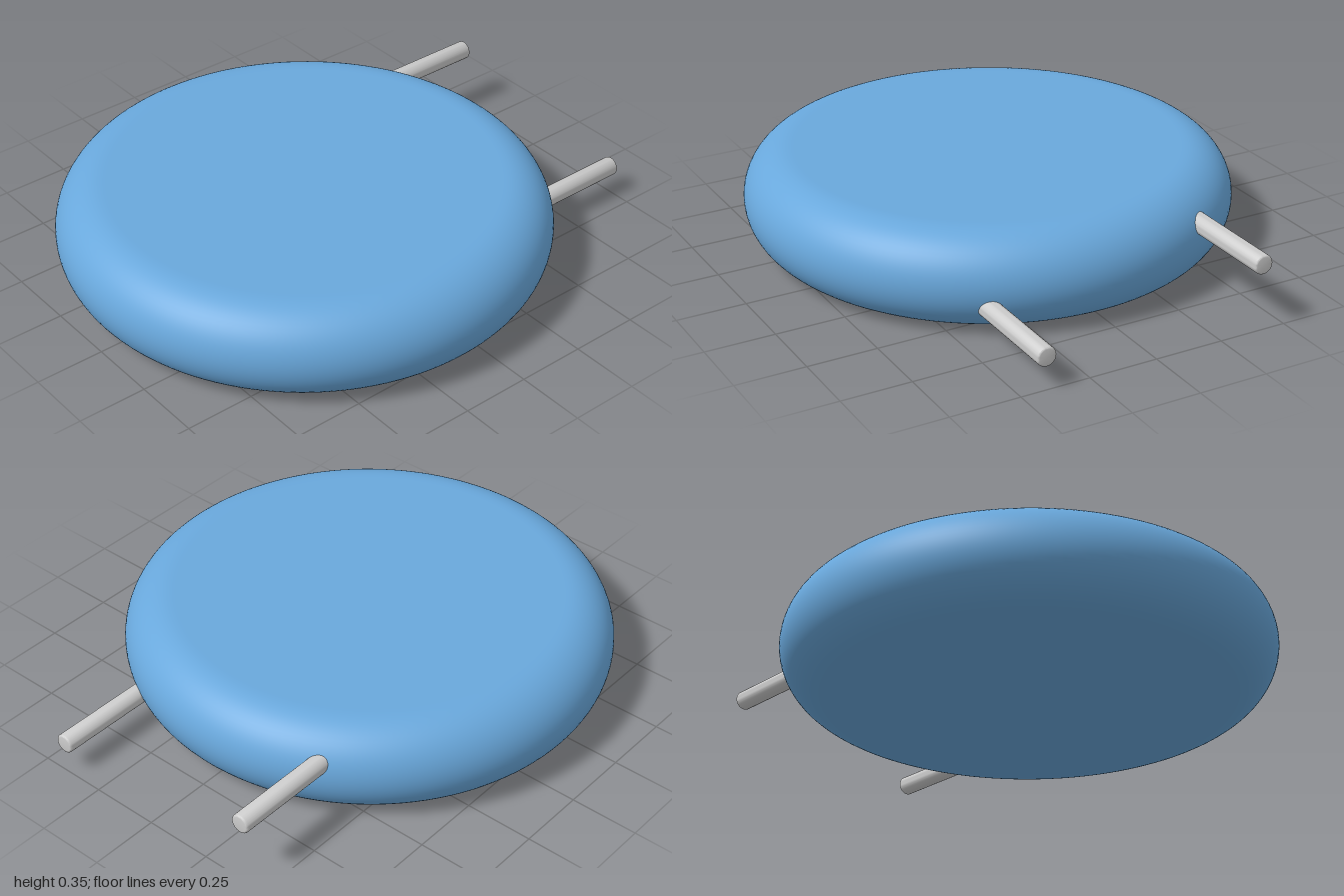
import * as THREE from 'three';
import { toCreasedNormals } from 'three/addons/utils/BufferGeometryUtils.js';

const RADIUS = 0.875, HEIGHT = 0.35, CENTRE_Z = 0.125;
const ROUND = HEIGHT / 2;

// Flat disc with a fully rounded rim
function discGeometry() {
  const flat = RADIUS - ROUND, steps = 32;
  const profile = [new THREE.Vector2(0, 0), new THREE.Vector2(flat - 0.01, 0)];
  for (let i = 0; i <= steps; i++) {
    const a = -Math.PI / 2 + (Math.PI * i) / steps;
    profile.push(new THREE.Vector2(flat + ROUND * Math.cos(a), ROUND + ROUND * Math.sin(a)));
  }
  profile.push(new THREE.Vector2(flat - 0.01, HEIGHT), new THREE.Vector2(0, HEIGHT));
  return new THREE.LatheGeometry(profile, 128);
}

// Straight pin with a slightly rounded outer end, pointing to -z
function pinGeometry(radius, length) {
  const bevel = 0.008;
  const profile = [[0, 0], [radius, 0], [radius, length - bevel]];
  for (let i = 1; i <= 4; i++) {
    const a = (Math.PI / 2) * (i / 4);
    profile.push([radius - bevel + bevel * Math.cos(a), length - bevel + bevel * Math.sin(a)]);
  }
  profile.push([0, length]);
  const lathe = new THREE.LatheGeometry(profile.map(([x, y]) => new THREE.Vector2(x, y)), 32);
  return toCreasedNormals(lathe, 0.6).rotateX(-Math.PI / 2);
}

export function createModel() {
  const group = new THREE.Group();
  const blue = new THREE.MeshStandardMaterial({ color: 0x69a8dc });
  const grey = new THREE.MeshStandardMaterial({ color: 0xcccccc });

  const body = new THREE.Mesh(discGeometry(), blue);
  body.name = 'body';
  body.position.z = CENTRE_Z;
  group.add(body);

  // Two leads leave the back, one low and one high
  const innerZ = -0.5;
  const pin = pinGeometry(0.035, 1 + innerZ);
  for (const [name, x, y] of [['leftLead', 0.406, 0.115], ['rightLead', -0.408, 0.237]]) {
    const lead = new THREE.Mesh(pin, grey);
    lead.name = name;
    lead.position.set(x, y, innerZ);
    group.add(lead);
  }
  return group;
}
